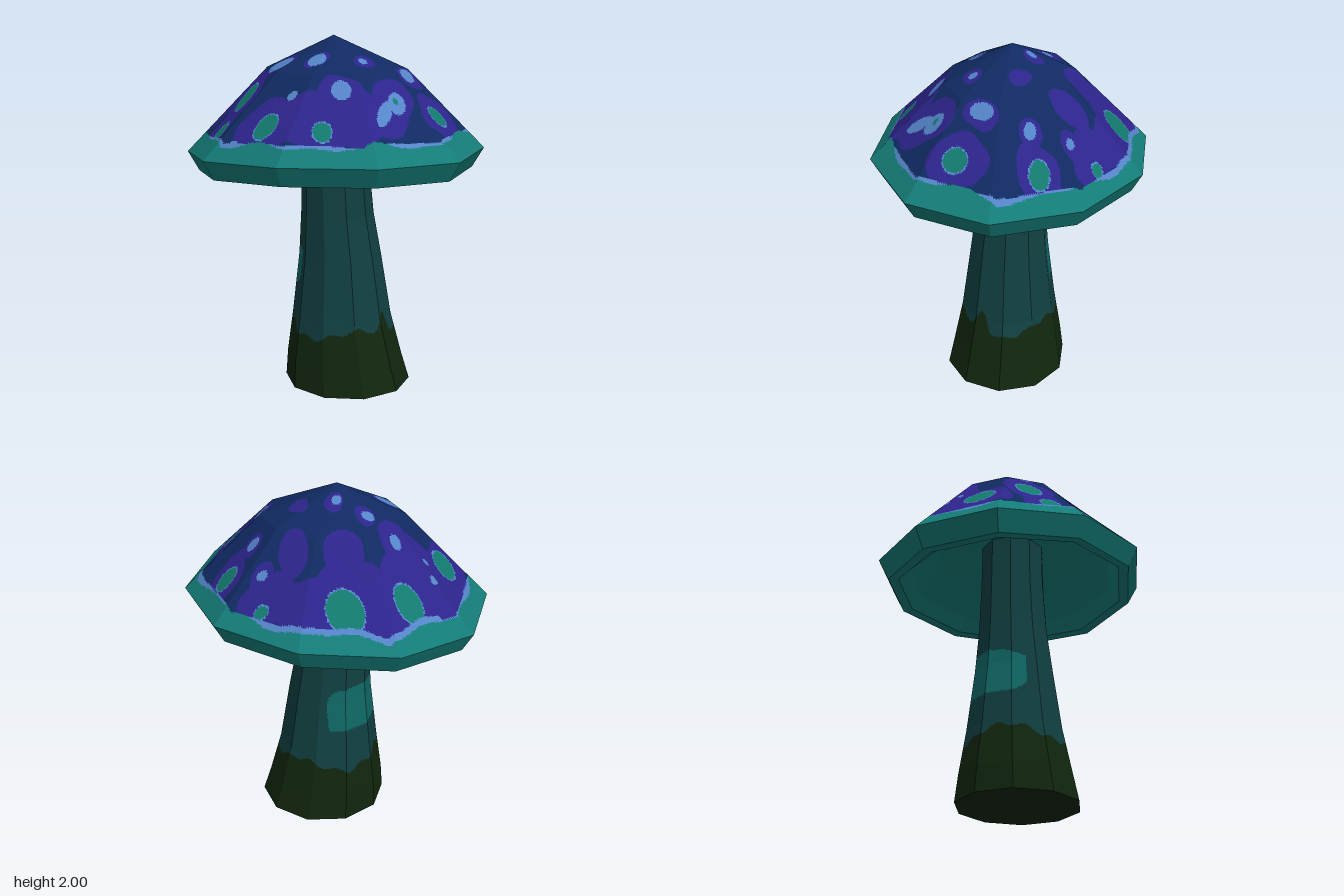
import * as THREE from 'three';

const SIDES = 10;
const paint = (name, color) => Object.assign(new THREE.MeshStandardMaterial({ color }), { name });

// Ellipses on the cap seen from above: x, z, radius x, radius z
const PURPLE = [
  [-0.3, -0.52, 0.3, 0.17], [-0.52, -0.28, 0.2, 0.28], [-0.14, -0.37, 0.11, 0.12], [0.13, -0.38, 0.08, 0.1],
  [0, -0.58, 0.2, 0.1], [0.22, -0.55, 0.16, 0.1], [-0.61, 0, 0.12, 0.24], [-0.38, -0.17, 0.12, 0.1],
  [-0.41, 0.26, 0.12, 0.14], [-0.52, 0.39, 0.12, 0.12], [-0.17, 0.54, 0.18, 0.13], [0.08, 0.53, 0.24, 0.12],
  [0.2, 0.39, 0.14, 0.1], [0.44, 0.28, 0.1, 0.17], [0.32, 0.45, 0.14, 0.13], [0.61, 0.03, 0.1, 0.17],
  [0.43, -0.03, 0.06, 0.1], [0.5, -0.37, 0.1, 0.12], [0.39, -0.28, 0.06, 0.06], [0.29, -0.45, 0.06, 0.06],
  [-0.19, -0.12, 0.055, 0.06], [-0.02, -0.12, 0.05, 0.06], [0.17, -0.13, 0.055, 0.055],
  [0.22, 0.12, 0.055, 0.055], [-0.01, 0.21, 0.06, 0.06], [-0.24, 0.17, 0.08, 0.07],
];
const PALE = [
  [-0.24, 0.17, 0.07, 0.06], [-0.01, 0.21, 0.05, 0.05], [-0.2, -0.12, 0.035, 0.03], [-0.025, -0.1, 0.025, 0.03],
  [0.22, 0.125, 0.025, 0.025], [0.19, 0.36, 0.055, 0.042], [0.455, 0.24, 0.045, 0.055], [0.425, 0.34, 0.03, 0.08],
  [0.42, -0.02, 0.035, 0.065], [0.385, -0.27, 0.035, 0.03], [0.28, -0.45, 0.03, 0.02], [-0.36, -0.17, 0.03, 0.03],
  [-0.06, 0.42, 0.028, 0.022], [-0.51, -0.11, 0.015, 0.015], [-0.57, -0.17, 0.02, 0.02], [-0.34, 0.58, 0.03, 0.02],
];
const GREEN = [
  [-0.19, -0.55, 0.1, 0.075], [-0.48, -0.37, 0.078, 0.072], [-0.585, 0.04, 0.06, 0.085], [-0.41, 0.26, 0.06, 0.072],
  [-0.5, 0.42, 0.048, 0.055], [-0.16, 0.54, 0.065, 0.055], [0.165, 0.555, 0.05, 0.04], [0.615, 0.04, 0.045, 0.065],
  [0.505, -0.375, 0.055, 0.05], [0.245, -0.59, 0.035, 0.025], [0.445, 0.235, 0.015, 0.015],
];
const inside = (list, x, z, grow = 0) => list.some(([cx, cz, rx, rz]) =>
  ((x - cx) / (rx + grow)) ** 2 + ((z - cz) / (rz + grow)) ** 2 < 1);

// Skin a stack of ten-sided rings (top to bottom); the rule picks a part for every small face
function skin(rings, steps, across, rule) {
  const parts = {};
  const add = (a, b, c, band) => {
    const m = new THREE.Vector3().add(a).add(b).add(c).divideScalar(3);
    (parts[rule(m, band)] ??= []).push(...a.toArray(), ...b.toArray(), ...c.toArray());
  };
  for (let k = 0; k < rings.length - 1; k++) {
    for (let i = 0; i < SIDES; i++) {
      const j = (i + 1) % SIDES, n = steps[k], w = across[k];
      const at = (u, v) => {
        const top = rings[k][i].clone().lerp(rings[k][j], u / w);
        return top.lerp(rings[k + 1][i].clone().lerp(rings[k + 1][j], u / w), v / n);
      };
      for (let v = 0; v < n; v++) {
        for (let u = 0; u < w; u++) {
          const a = at(u, v), b = at(u, v + 1), c = at(u + 1, v + 1), d = at(u + 1, v);
          add(a, b, c, k);
          if (a.distanceTo(d) > 1e-6) add(a, c, d, k);
        }
      }
    }
  }
  return parts;
}

function addParts(group, parts, materials) {
  for (const [name, points] of Object.entries(parts)) {
    const g = new THREE.BufferGeometry();
    g.setAttribute('position', new THREE.Float32BufferAttribute(points, 3));
    g.computeVertexNormals(); // unshared corners give flat facets
    const mesh = new THREE.Mesh(g, materials[name]);
    mesh.name = name;
    group.add(mesh);
  }
}

const ring = (cx, rx, rz, height) => Array.from({ length: SIDES }, (_, i) => {
  const a = (i / SIDES) * Math.PI * 2, x = cx + rx * Math.sin(a), z = rz * Math.cos(a);
  return new THREE.Vector3(x, typeof height === 'number' ? height : height(x, z), z);
});

export function createModel() {
  const model = new THREE.Group();
  model.name = 'mushroom';
  const teal = paint('rim teal', 0x147c78);
  const navy = paint('cap navy', 0x102a62);
  const purple = paint('cap purple', 0x2d248c);
  const pale = paint('pale blue', 0x5484c8);
  const green = paint('spot green', 0x127a6e);
  const stemColor = paint('stem dark teal', 0x113f41);
  const patch = paint('stem patch teal', 0x0f6866);
  const moss = paint('moss', 0x11260e);

  // Cap: apex, shoulder, tilted wavy rim, lip, hollow underside
  const rimY = (x, z) => 1.355 + 0.043 * x + 0.02 * z + 0.04 * (z / 0.77) ** 2;
  const rim = (f, drop) => ring(0, 0.848 * f, 0.76 * f, (x, z) => rimY(x / f, z / f) - drop);
  const capRings = [
    ring(0, 0, 0, 2), ring(0.02, 0.395, 0.345, 1.82), rim(1, 0), rim(0.925, 0.11), rim(0.85, 0.105),
    rim(0.77, 0.03), ring(0, 0.46, 0.42, 1.46), ring(0, 0.1, 0.1, 1.56),
  ];
  const shoulder = 0.46;
  const capRule = (p, band) => {
    if (band === 2) return 'capRim';
    if (band > 2) return 'capUnderside';
    const a = Math.atan2(p.x, p.z);
    const x = p.x + 0.01 * Math.sin(27 * p.z + 1), z = p.z + 0.01 * Math.sin(25 * p.x);
    if (band === 1) {
      // Height share between shoulder and rim gives the distance to the edge
      const sector = (Math.PI * 2) / SIDES;
      const local = ((a % sector) + sector) % sector - sector / 2;
      const f = Math.hypot(p.x / 0.848, p.z / 0.76) * Math.cos(local) / Math.cos(sector / 2);
      const wave = 0.014 * Math.sin(7 * a) + 0.01 * Math.sin(13 * a + 2);
      const edge = 0.885 + wave + (p.z < 0 ? -0.045 * p.z : 0);
      if (f > edge && f > shoulder) return 'capRim';
      const band2 = p.z < -0.3 && p.x < 0.2 ? 0.03 : 0.012 + wave;
      if (f > edge - band2) return 'capPaleMarks';
    }
    if (inside(GREEN, p.x, p.z)) return 'capGreenSpots';
    if (inside(PALE, p.x, p.z) || inside(GREEN, p.x, p.z, 0.006)) return 'capPaleMarks';
    return inside(PURPLE, x, z) ? 'capPurplePatches' : 'capSkin';
  };
  const cap = new THREE.Group();
  cap.name = 'cap';
  addParts(cap, skin(capRings, [30, 50, 1, 1, 1, 1, 1], [28, 40, 1, 1, 1, 1, 1], capRule), {
    capSkin: navy, capPurplePatches: purple, capPaleMarks: pale,
    capGreenSpots: green, capRim: teal, capUnderside: teal,
  });
  model.add(cap);

  // Stem: leaning flared column with a mossy foot and one pale patch at the back
  const stemRings = [
    [1.57, 0.01, 0.18], [1.28, 0.01, 0.185], [1, 0.022, 0.2], [0.75, 0.04, 0.228],
    [0.4, 0.05, 0.275], [0.15, 0.068, 0.323], [0, 0.087, 0.35],
  ].map(([y, cx, r]) => ring(cx, r * 1.04, r, y));
  stemRings.push(ring(0.087, 0, 0, 0));
  const stemRule = (p, band) => {
    if (band === 6) return 'stemMoss';
    const a = Math.atan2(p.x - 0.05, p.z);
    const top = 0.34 + 0.03 * Math.sin(3 * a - 0.6) + 0.014 * Math.sin(11 * a) + 0.12 * Math.exp(-(((a - 1.42) / 0.16) ** 2));
    if (p.y < top) return 'stemMoss';
    const t = (p.z - p.x) * Math.SQRT1_2;
    const inPatch = p.x + p.z < 0 && p.y > 0.57 && ((t - 0.025) / 0.18) ** 4 + ((p.y - 0.66) / 0.17) ** 4 < 1;
    return inPatch ? 'stemPatch' : 'stemColumn';
  };
  const stem = new THREE.Group();
  stem.name = 'stem';
  addParts(stem, skin(stemRings, [1, 1, 20, 28, 25, 1, 1], [1, 1, 12, 14, 16, 1, 1], stemRule), {
    stemColumn: stemColor, stemMoss: moss, stemPatch: patch,
  });
  model.add(stem);
  return model;
}
